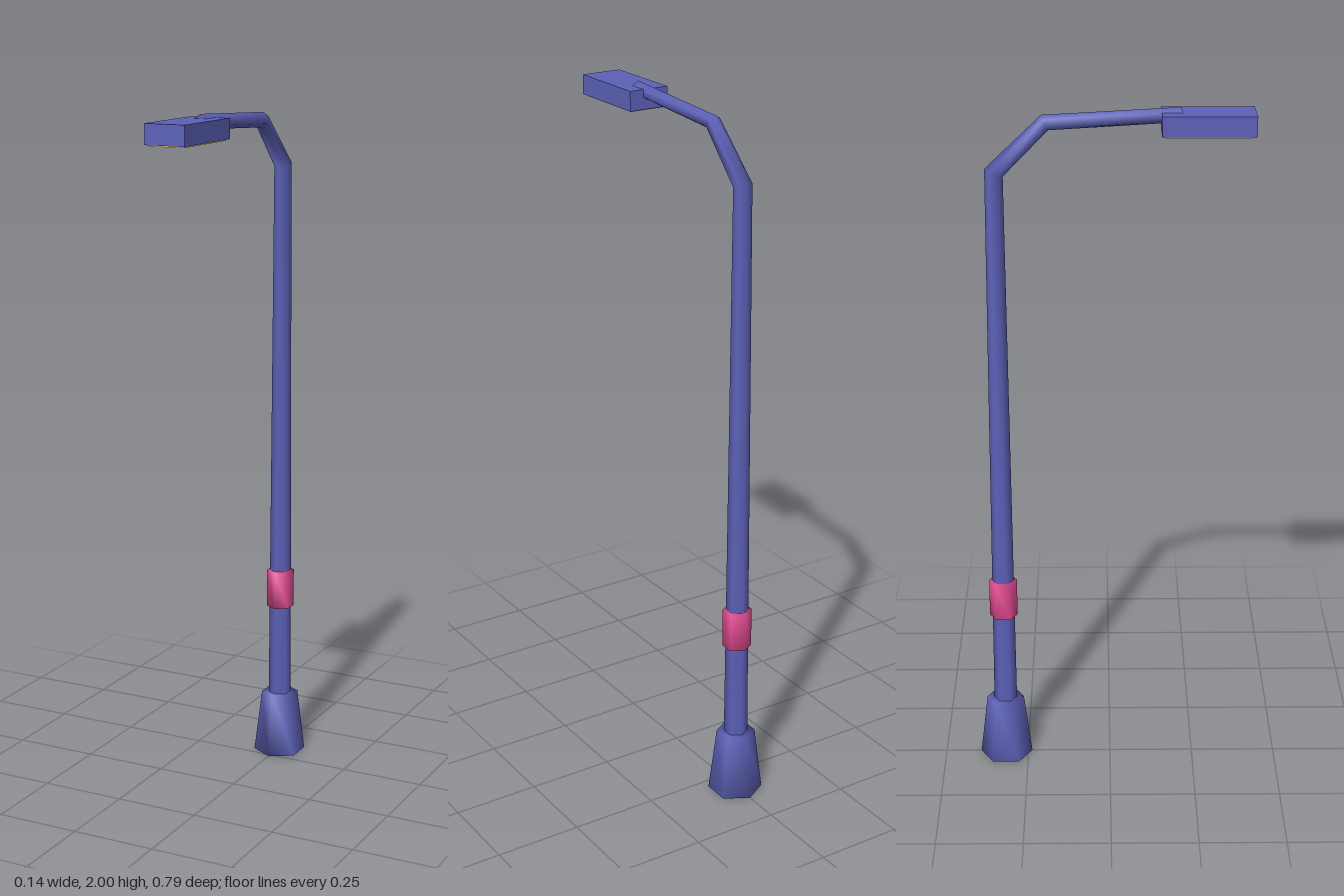
import * as THREE from 'three';

const paint = new THREE.MeshStandardMaterial({ color: 0x5d61b8 });
paint.name = 'blue paint';
const pink = new THREE.MeshStandardMaterial({ color: 0xe24a90 });
pink.name = 'pink band';
const glow = new THREE.MeshStandardMaterial({ color: 0xe6cf86 });
glow.name = 'warm lamp panel';

const SIDES = 6;
const POLE_Z = -0.316;

// Smooth closed six-sided tube through stations [y, z, radius], mitred at bends
function hexTube(stations) {
  const pos = [], index = [];
  const dir = (a, b) => new THREE.Vector2(b[0] - a[0], b[1] - a[1]).normalize();
  const last = stations.length - 1;
  stations.forEach(([y, z, r], i) => {
    const before = dir(stations[Math.max(i - 1, 0)], stations[Math.max(i, 1)]);
    const after = dir(stations[Math.min(i, last - 1)], stations[Math.min(i + 1, last)]);
    const t = before.clone().add(after).normalize();
    const mitre = r / t.dot(before);
    for (let k = 0; k < SIDES; k++) {
      const a = (k / SIDES) * Math.PI * 2;
      const n = Math.cos(a) * mitre;
      pos.push(Math.sin(a) * r, y - t.y * n, z + t.x * n);
    }
  });
  for (let i = 0; i < last; i++) {
    for (let k = 0; k < SIDES; k++) {
      const a = i * SIDES + k, b = i * SIDES + (k + 1) % SIDES;
      index.push(a, b, a + SIDES, b, b + SIDES, a + SIDES);
    }
  }
  // End caps share the ring vertices, so the ends shade softly
  const top = last * SIDES;
  for (let k = 1; k < SIDES - 1; k++) {
    index.push(0, k + 1, k, top, top + k, top + k + 1);
  }
  const geo = new THREE.BufferGeometry();
  geo.setAttribute('position', new THREE.Float32BufferAttribute(pos, 3));
  geo.setIndex(index);
  geo.computeVertexNormals();
  return geo;
}

export function createModel() {
  const model = new THREE.Group();
  model.name = 'streetLamp';
  const add = (name, geo, mat) => {
    const mesh = new THREE.Mesh(geo, mat);
    mesh.name = name;
    model.add(mesh);
    return mesh;
  };

  // Tapered foot
  add('base', hexTube([[0, POLE_Z, 0.078], [0.19, POLE_Z, 0.055]]), paint);

  // Pole, bend and overhanging arm in one tapering tube
  add('poleAndArm', hexTube([
    [0.02, POLE_Z, 0.035],
    [1.82, POLE_Z, 0.025],
    [1.958, -0.176, 0.0215],
    [1.979, 0.194, 0.0205],
  ]), paint);

  // Coloured collar round the pole
  add('band', hexTube([[0.47, POLE_Z, 0.041], [0.585, POLE_Z, 0.041]]), pink);

  // Flat lamp head with a light panel underneath
  add('lampHead', new THREE.BoxGeometry(0.12, 0.056, 0.254), paint)
    .position.set(0, 1.959, 0.266);
  add('lightPanel', new THREE.BoxGeometry(0.104, 0.006, 0.234), glow)
    .position.set(0, 1.93, 0.266);

  return model;
}
